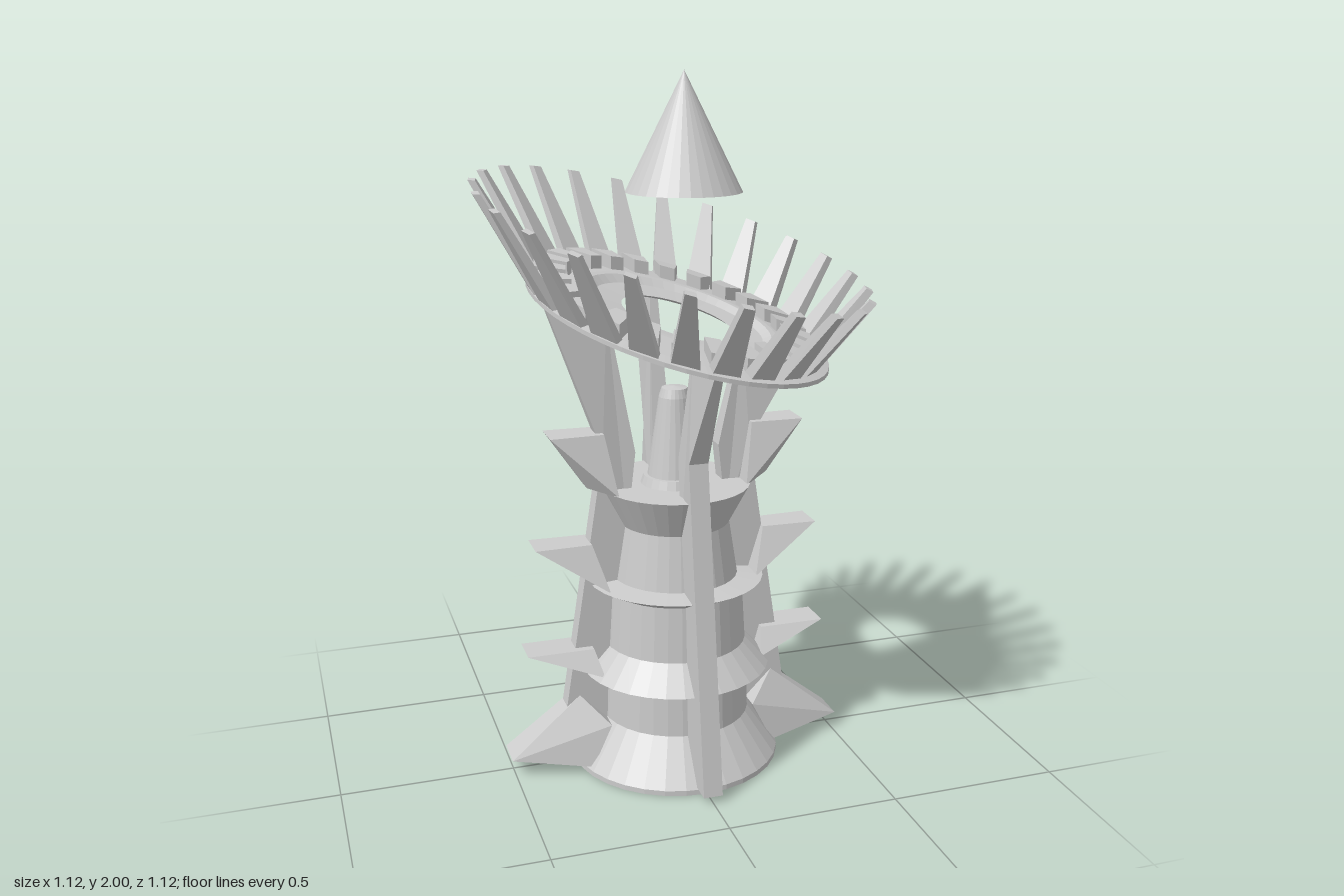
import * as THREE from 'three';
import { ConvexGeometry } from 'three/addons/geometries/ConvexGeometry.js';

const material = new THREE.MeshStandardMaterial({ color: 0xcccccc, flatShading: true, side: THREE.DoubleSide });

// Tilt of the crown: height of its underside at (x, z)
const TILT_X = -0.25, TILT_Z = -0.18, CROWN_Y = 1.315;

function part(name, geometry) {
  const mesh = new THREE.Mesh(geometry, material);
  mesh.name = name;
  return mesh;
}

function lathe(points, segments = 32) {
  return new THREE.LatheGeometry(points.map(([r, y]) => new THREE.Vector2(r, y)), segments);
}

// Convex solid mirrored about z = 0 from [x, y, halfWidth] points
function wedge(points) {
  const corners = [];
  for (const [x, y, w] of points) {
    corners.push(new THREE.Vector3(x, y, w), new THREE.Vector3(x, y, -w));
  }
  return new ConvexGeometry(corners);
}

// Buttress blade that stands beside the body and flares out to carry the crown
function buttress(angle) {
  const slope = TILT_X * Math.cos(angle) - TILT_Z * Math.sin(angle);
  const top = (r) => CROWN_Y + slope * r;
  const outline = [
    [0.15, 0.02], [0.365, 0.02], [0.22, 0.96], [0.385, top(0.385)],
    [0.2, top(0.2)], [0.125, 0.95], [0.15, 0.73],
  ];
  const shape = new THREE.Shape(outline.map(([x, y]) => new THREE.Vector2(x, y)));
  const geometry = new THREE.ExtrudeGeometry(shape, { depth: 2, bevelEnabled: false });
  const p = geometry.attributes.position;
  // The blade thins toward its top
  for (let i = 0; i < p.count; i++) {
    const half = p.getY(i) > 1 ? 0.012 : 0.028;
    p.setZ(i, (p.getZ(i) - 1) * half);
  }
  geometry.computeVertexNormals();
  geometry.rotateY(angle);
  return geometry;
}

export function createModel() {
  const model = new THREE.Group();
  model.name = 'tower';

  // Ringed central body
  model.add(part('body', lathe([
    [0, 0], [0.31, 0], [0.31, 0.015], [0.22, 0.14], [0.215, 0.28], [0.28, 0.288],
    [0.21, 0.365], [0.2, 0.53], [0.26, 0.562], [0.185, 0.57], [0.16, 0.73],
    [0.22, 0.845], [0.1, 0.845], [0, 0.845],
  ])));

  // Blunt core on top of the body
  model.add(part('core', lathe([
    [0.1, 0.84], [0.09, 0.87], [0.078, 0.87], [0.045, 1.1], [0.037, 1.125], [0, 1.13],
  ], 24)));

  // Four buttresses
  for (let i = 0; i < 4; i++) model.add(part('buttress', buttress(i * Math.PI / 2)));

  // Pointed ledges on both side buttresses, growing out of the body rings
  const ledges = [
    [[0.51, 0.05, 0.05], [0.375, 0.15, 0.035], [0.22, 0.14, 0.09], [0.28, 0.02, 0.1], [0.3, 0.22, 0.028]],
    [[0.455, 0.372, 0.05], [0.26, 0.372, 0.05], [0.33, 0.35, 0.035], [0.24, 0.3, 0.1]],
    [[0.425, 0.692, 0.05], [0.26, 0.692, 0.045], [0.32, 0.62, 0.035], [0.22, 0.56, 0.1]],
    [[0.375, 1.015, 0.05], [0.22, 1.015, 0.045], [0.27, 0.86, 0.035], [0.19, 0.84, 0.09]],
  ];
  for (const side of [0, Math.PI]) {
    for (const points of ledges) {
      const ledge = part('sideLedge', wedge(points));
      ledge.rotation.y = side;
      model.add(ledge);
    }
  }

  // Sloping crown: every piece is made level, then sheared into the slope
  const crown = new THREE.Group();
  crown.name = 'crown';
  model.add(crown);
  const slant = new THREE.Matrix4().set(
    1, 0, 0, 0,
    TILT_X, 1, TILT_Z, CROWN_Y,
    0, 0, 1, 0,
    0, 0, 0, 1,
  );

  // Dished disc with a central hole
  const disc = lathe([
    [0.185, 0], [0.425, 0], [0.425, 0.012], [0.39, 0.02], [0.28, 0.035],
    [0.262, 0.035], [0.238, 0.018], [0.16, 0.012], [0.185, 0],
  ], 48);
  disc.translate(0.012, 0, 0).applyMatrix4(slant);
  crown.add(part('disc', disc));

  // Teeth: a low block on the disc and a raked spike at its rim
  const block = [
    [0.302, 0.02, 0.022], [0.302, 0.07, 0.022], [0.39, 0.015, 0.035], [0.39, 0.06, 0.035],
  ];
  const spike = [
    [0.375, 0.012, 0.038], [0.41, 0.012, 0.038], [0.54, 0.245, 0.015], [0.56, 0.24, 0.015],
  ];
  const count = 24;
  for (let i = 0; i < count; i++) {
    const angle = (i / count) * Math.PI * 2 + 0.025;
    for (const [name, points] of [['toothBlock', block], ['toothSpike', spike]]) {
      crown.add(part(name, wedge(points).rotateY(angle).applyMatrix4(slant)));
    }
  }

  // Floating cone above the crown
  const cone = part('floatingCone', new THREE.ConeGeometry(0.163, 0.325, 32));
  cone.position.set(0.03, 1.8375, -0.008);
  model.add(cone);

  return model;
}
